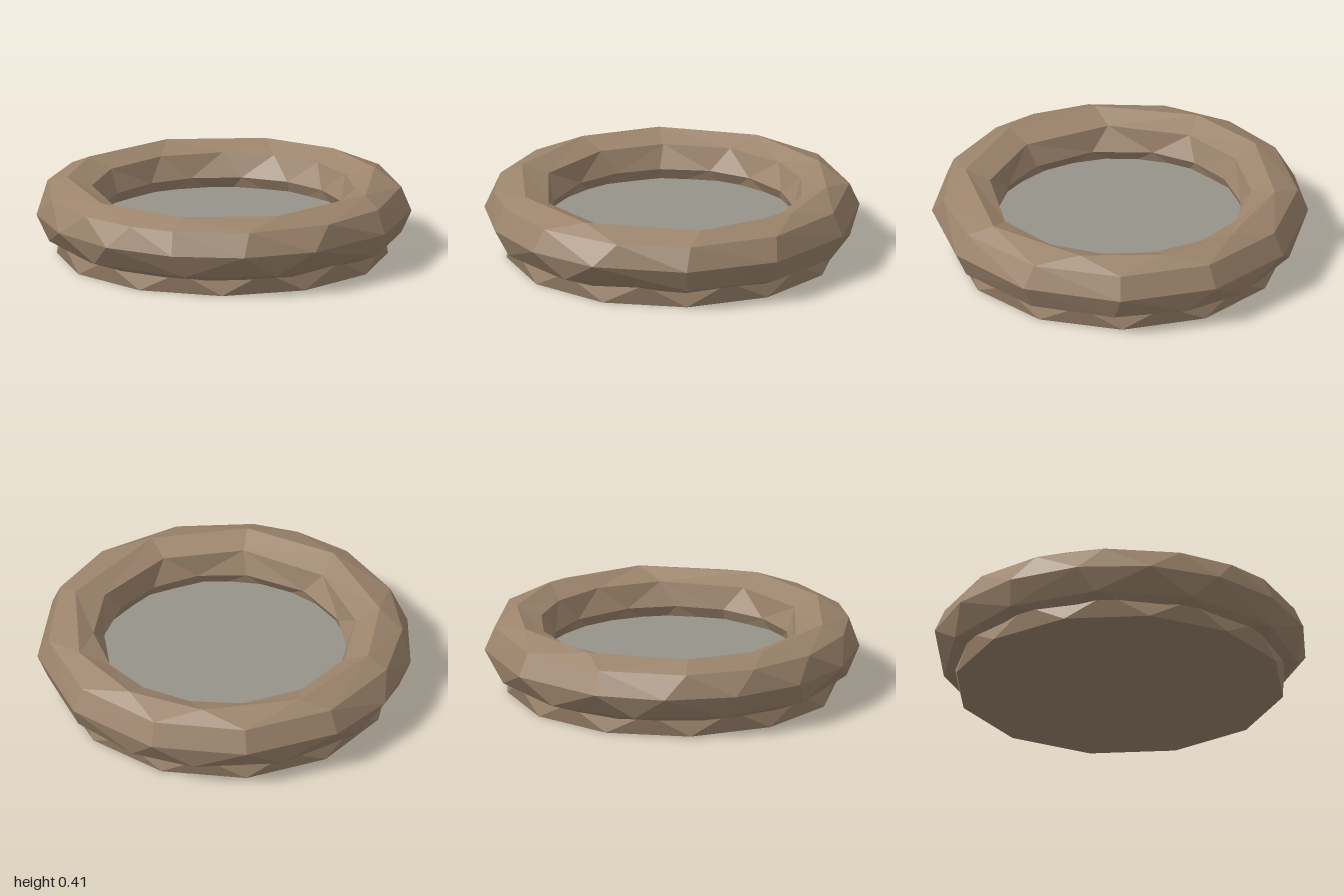
import * as THREE from 'three';

// Horizontal ring of points; angles in degrees from the front (+z) towards +x
const ring = (radius, y, degrees) => degrees.map((d) => {
  const a = THREE.MathUtils.degToRad(d);
  return new THREE.Vector3(radius * Math.sin(a), y, radius * Math.cos(a));
});

const every30 = (start) => Array.from({ length: 12 }, (_, i) => start + i * 30);

// Band of triangles between two rings with any number of points
function stitch(a, b) {
  const tris = [];
  let i = 0, j = 0;
  while (i < a.length || j < b.length) {
    const a0 = a[i % a.length], a1 = a[(i + 1) % a.length];
    const b0 = b[j % b.length], b1 = b[(j + 1) % b.length];
    if (j >= b.length || (i < a.length && a1.distanceTo(b0) < b1.distanceTo(a0))) {
      tris.push(a0, a1, b0);
      i++;
    } else {
      tris.push(a0, b1, b0);
      j++;
    }
  }
  return tris;
}

// Flat lid over a ring
function cap(points, up) {
  const centre = new THREE.Vector3(0, points[0].y, 0);
  return points.flatMap((p, i) => {
    const q = points[(i + 1) % points.length];
    return up ? [centre, p, q] : [centre, q, p];
  });
}

function part(name, points, color) {
  const geometry = new THREE.BufferGeometry().setFromPoints(points);
  geometry.computeVertexNormals();
  const material = new THREE.MeshStandardMaterial({ color, flatShading: true });
  const mesh = new THREE.Mesh(geometry, material);
  mesh.name = name;
  return mesh;
}

export function createModel() {
  const group = new THREE.Group();
  group.name = 'roundBasin';
  const clay = 0x9c846c;

  // Chunky eight-sided tube: irregular rings from the underside, up the outside and down the inside
  const rings = [
    ring(0.83, 0.06, every30(8)),
    ring(0.95, 0.115, [8, 38, 66, 90, 111, 140, 170, 200, 230, 262, 296, 326]),
    ring(1.005, 0.24, [7.5, 37, 68, 98.5, 128, 158, 180, 202.5, 225, 247.5, 270, 292.5, 315, 338]),
    ring(0.95, 0.363, [9, 39, 68, 98, 128, 158, 187, 210, 233, 258, 277, 292, 317, 345]),
    ring(0.835, 0.415, [14, 53, 84, 113, 150, 188, 218, 257, 293, 329]),
    ring(0.703, 0.363, [7, 36, 61, 83, 106, 129, 157, 187, 216, 253, 293, 329]),
    ring(0.65, 0.24, [0, 23, 52, 75, 97, 120, 144, 165, 189, 210, 232, 261, 291, 314, 337]),
    ring(0.703, 0.115, every30(8)),
  ];
  const rim = part('rim', rings.flatMap((r, i) => stitch(r, rings[(i + 1) % rings.length])), clay);
  rim.position.set(0.004, 0, 0.004);
  group.add(rim);

  // Twelve-sided foot, its upper ring turned by half a step
  const footBottom = ring(0.885, 0, every30(8.5));
  const footTop = ring(0.885, 0.12, every30(23.5));
  group.add(part('foot', [...stitch(footBottom, footTop), ...cap(footBottom, false)], clay));

  // Flat surface filling the basin, running into the rim
  group.add(part('basinSurface', cap(ring(0.75, 0.18, every30(0)), true), 0x96938a));

  return group;
}
